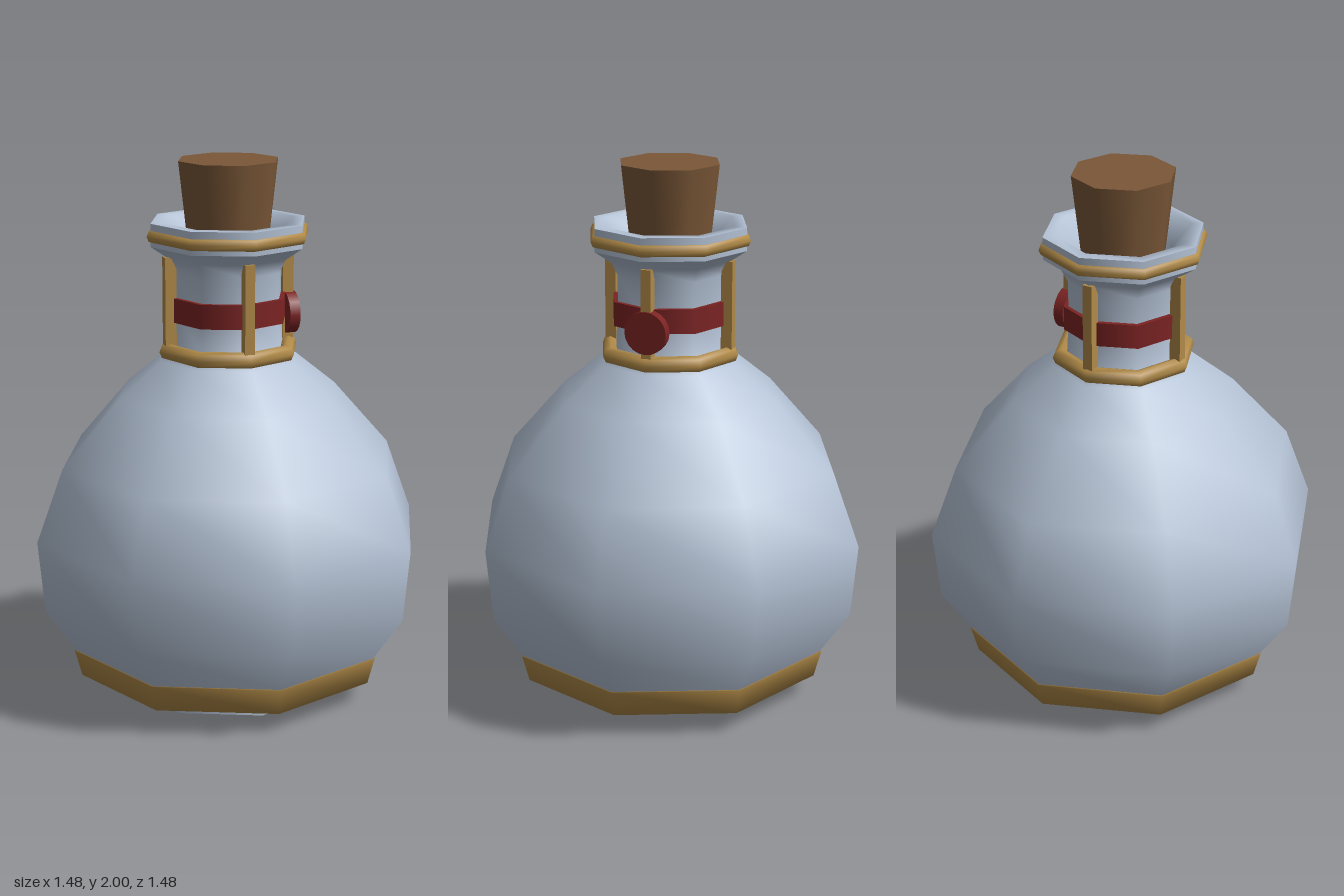
import * as THREE from 'three';

const SIDES = 8;

export function createModel() {
  const material = (name, color) => {
    const m = new THREE.MeshStandardMaterial({ color });
    m.name = name;
    return m;
  };
  const glass = material('pale blue glass', 0xb3c1d4);
  const gold = material('antique gold', 0xb08a48);
  const cork = material('brown cork', 0x7a5737);
  const red = material('dark red wax', 0x7c2323);

  const group = new THREE.Group();
  group.name = 'bottle';
  const add = (name, geometry, mat, x = 0, y = 0, z = 0) => {
    const mesh = new THREE.Mesh(geometry, mat);
    mesh.name = name;
    mesh.position.set(x, y, z);
    group.add(mesh);
    return mesh;
  };
  const lathe = (points) =>
    new THREE.LatheGeometry(points.map(([r, y]) => new THREE.Vector2(r, y)), SIDES);

  // Glass: round body running up into the neck and flared mouth
  add('body', lathe([
    [0.58, 0.09], [0.6, 0.18], [0.715, 0.35], [0.74, 0.62], [0.64, 0.89],
    [0.42, 1.14], [0.26, 1.27], [0.212, 1.32], [0.205, 1.45], [0.205, 1.6],
    [0.23, 1.65], [0.295, 1.695],
  ]), glass);
  add('lipRim', lathe([[0.295, 1.695], [0.295, 1.78]]), glass);
  add('lipTop', lathe([[0.295, 1.78], [0.25, 1.78], [0.18, 1.7], [0.15, 1.6]]), glass);
  add('bottom', new THREE.CylinderGeometry(0.4, 0.4, 0.02, SIDES), glass, 0, 0.01);

  // Gold foot around the base
  add('foot', lathe([[0.395, 0.015], [0.58, 0.08], [0.607, 0.18], [0.595, 0.182]]), gold);

  // Gold rings below the lip and at the foot of the neck
  for (const [name, radius, tube, y] of [
    ['lipRing', 0.285, 0.025, 1.733],
    ['neckRing', 0.235, 0.031, 1.305],
  ]) {
    add(name, new THREE.TorusGeometry(radius, tube, 8, SIDES), gold, 0, y)
      .rotation.x = Math.PI / 2;
  }

  // Four upright gold bars around the neck
  for (let i = 0; i < 4; i++) {
    const a = (i * Math.PI) / 2;
    add('neckBar', new THREE.BoxGeometry(0.037, 0.345, 0.042), gold,
      Math.sin(a) * 0.226, 1.483, Math.cos(a) * 0.226).rotation.y = a;
  }

  // Red band with a round wax seal on the left side
  add('band', new THREE.CylinderGeometry(0.222, 0.222, 0.09, SIDES), red, 0, 1.46);
  add('seal', new THREE.CylinderGeometry(0.079, 0.079, 0.04, 20), red, 0.234, 1.425)
    .rotation.z = -Math.PI / 2;

  // Tapered stopper
  add('stopper', new THREE.CylinderGeometry(0.19, 0.15, 0.35, SIDES), cork, 0, 1.825);

  return group;
}
